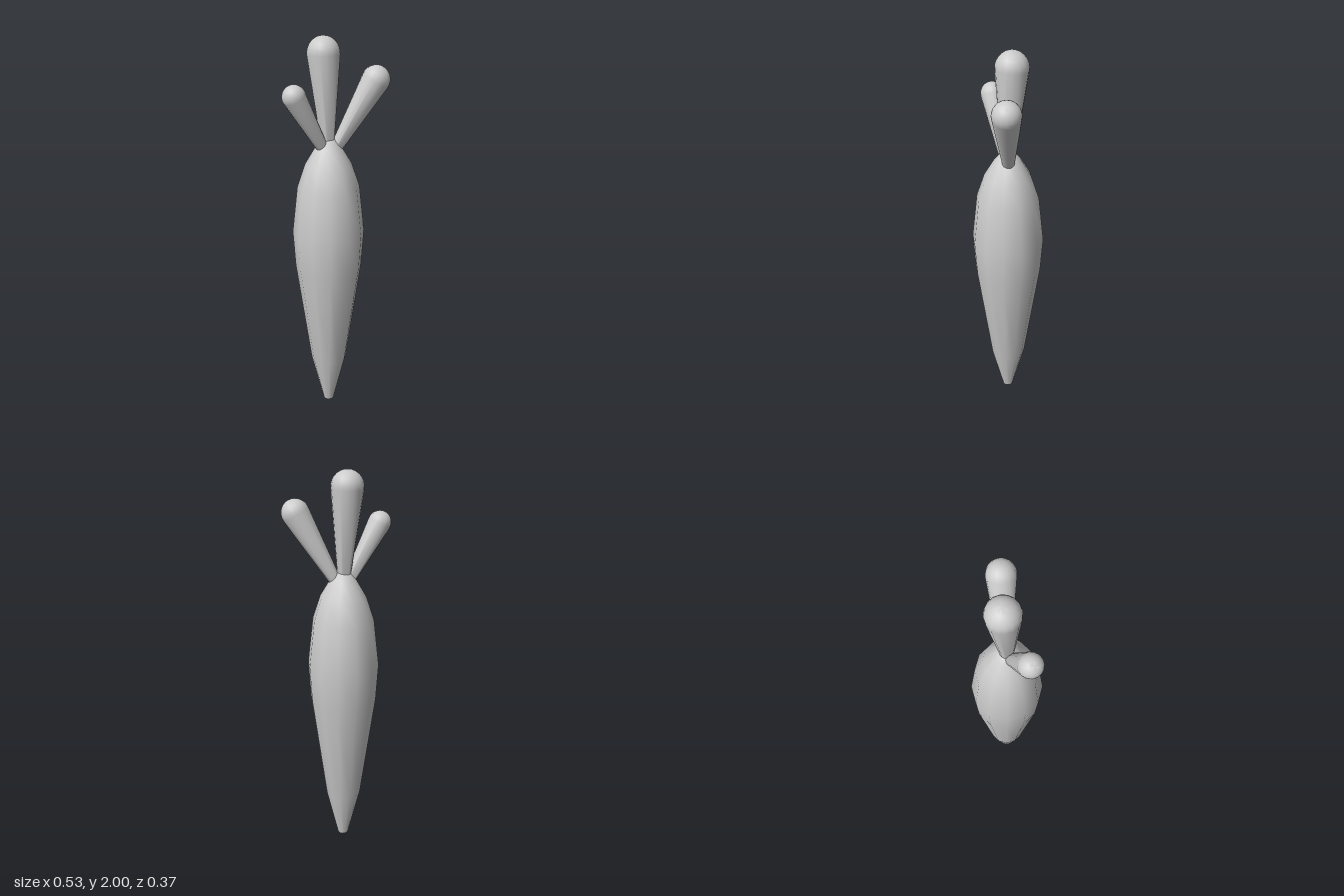
import * as THREE from 'three';
import { toCreasedNormals } from 'three/addons/utils/BufferGeometryUtils.js';

const material = new THREE.MeshStandardMaterial({ color: 0xcccccc });

// Tapered stalk from base to the centre of its round tip
function createStalk(name, base, tip, baseRadius, tipRadius) {
  const from = new THREE.Vector3(...base);
  const axis = new THREE.Vector3(...tip).sub(from);
  const length = axis.length();
  const profile = [new THREE.Vector2(0, 0), new THREE.Vector2(baseRadius, 0)];
  // Round cap starts where the cone is tangent to the sphere
  const start = -Math.asin((tipRadius - baseRadius) / length);
  const steps = 7;
  for (let i = 0; i <= steps; i++) {
    const a = THREE.MathUtils.lerp(start, Math.PI / 2, i / steps);
    profile.push(new THREE.Vector2(i === steps ? 0 : tipRadius * Math.cos(a), length + tipRadius * Math.sin(a)));
  }
  const mesh = new THREE.Mesh(toCreasedNormals(new THREE.LatheGeometry(profile, 16), 0.8), material);
  mesh.name = name;
  mesh.position.copy(from);
  mesh.quaternion.setFromUnitVectors(new THREE.Vector3(0, 1, 0), axis.normalize());
  return mesh;
}

export function createModel() {
  const group = new THREE.Group();
  group.name = 'carrot';

  // Twelve-sided root with a blunt lower end
  const profile = [
    [0, 0], [0.028, 0], [0.094, 0.27], [0.172, 0.83], [0.184, 1.02],
    [0.157, 1.26], [0.117, 1.38], [0.066, 1.465], [0.032, 1.505], [0, 1.51],
  ].map(([r, y]) => new THREE.Vector2(r, y));
  const root = new THREE.Mesh(toCreasedNormals(new THREE.LatheGeometry(profile, 12), 0.9), material);
  root.name = 'root';
  root.position.x = -0.017;
  group.add(root);

  // Three stalks fanning out of the crown
  group.add(
    createStalk('middleStalk', [-0.018, 1.42, 0], [-0.027, 1.919, -0.026], 0.026, 0.081),
    createStalk('leftStalk', [-0.005, 1.41, 0], [0.195, 1.79, 0.095], 0.024, 0.07),
    createStalk('rightStalk', [-0.025, 1.42, 0], [-0.21, 1.735, 0], 0.024, 0.058),
  );
  return group;
}
